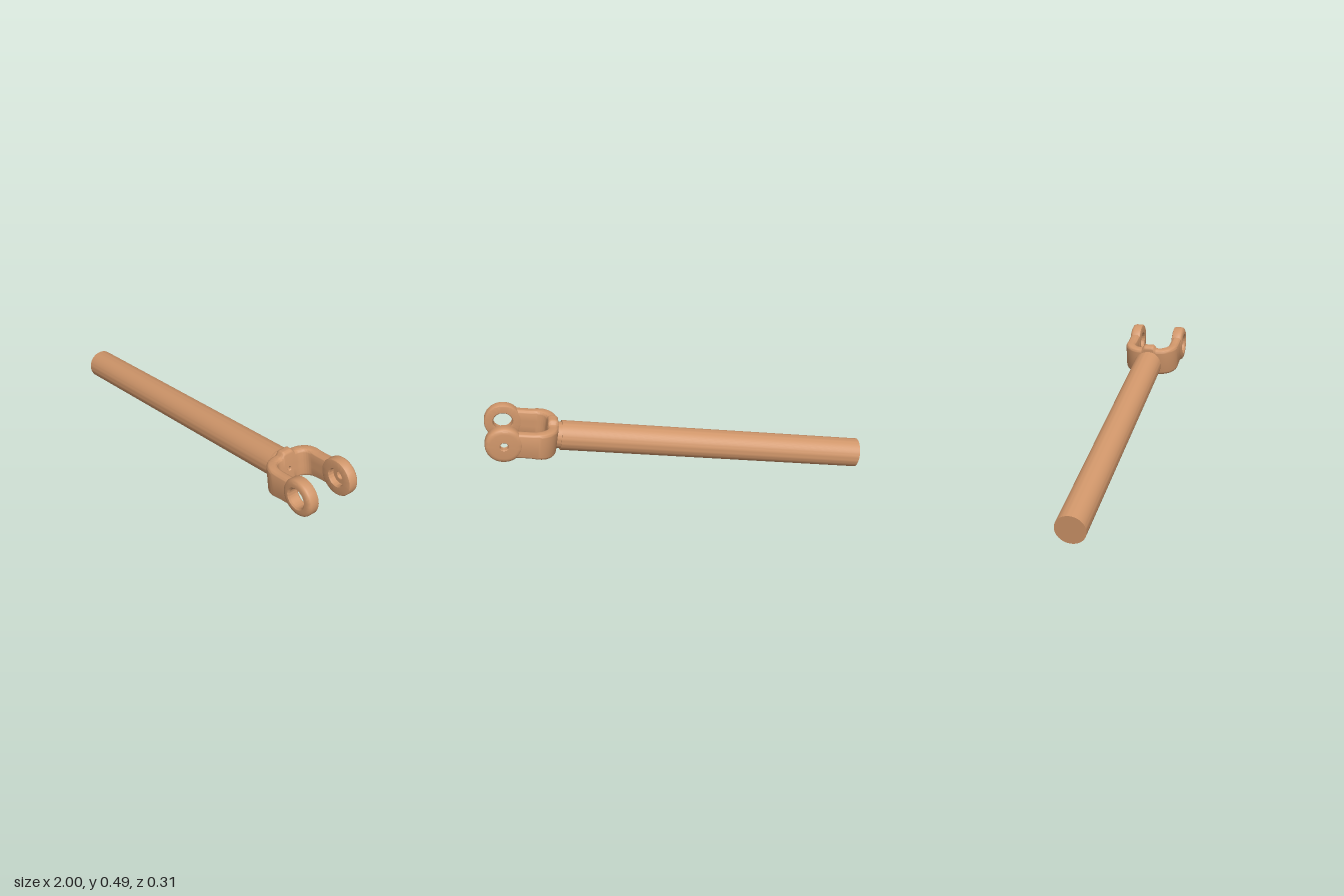
import * as THREE from 'three';
import { toCreasedNormals } from 'three/addons/utils/BufferGeometryUtils.js';

// Local frame: x runs along the rod, y across the fork's height, z across its width.
const ROD_END = 1.622, BASE_X = 1.67, EYE_X = 1.915, ARM_TIP = 1.85;
const ARM_Z = 0.124, BEND = 0.075, HALF_T = 0.027, EDGE = 0.018, PATCH = 0.016;

const material = new THREE.MeshStandardMaterial({ color: 0xd0966a });

function addPart(group, name, geometry, crease = 0.6) {
  const mesh = new THREE.Mesh(toCreasedNormals(geometry, crease), material);
  mesh.name = name;
  group.add(mesh);
  return mesh;
}

function lathe(points, segments) {
  return new THREE.LatheGeometry(points.map(([r, y]) => new THREE.Vector2(r, y)), segments);
}

// U-shaped path of the fork: position, outward direction and half height
function forkStations() {
  const half = [];
  for (let i = 0; i < 7; i++) {
    const x = THREE.MathUtils.lerp(ARM_TIP, BASE_X + BEND, i / 7);
    half.push({ x, z: ARM_Z, nx: 0, nz: 1 });
  }
  for (let i = 0; i <= 12; i++) {
    const a = (i / 12) * Math.PI / 2;
    const nx = -Math.sin(a), nz = Math.cos(a);
    half.push({ x: BASE_X + BEND + BEND * nx, z: ARM_Z - BEND + BEND * nz, nx, nz });
  }
  for (const z of [0.043, 0.039, 0.035, 0.031, 0.027, 0.023, PATCH]) {
    half.push({ x: BASE_X, z, nx: -1, nz: 0 });
  }
  const mirrored = half.map((s) => ({ ...s, z: -s.z, nz: -s.nz })).reverse();
  const all = [...half, ...mirrored];
  for (const s of all) {
    const neck = THREE.MathUtils.smoothstep(s.x, 1.69, 1.79);
    const lug = 1 - THREE.MathUtils.smoothstep(Math.abs(s.z), 0.023, 0.044);
    s.h = 0.077 - 0.008 * neck + 0.021 * lug;
  }
  return { all, middle: half.length - 1 };
}

// Rounded rectangle section: [outward offset, height]
function section(h) {
  const ring = [];
  [[1, 1], [-1, 1], [-1, -1], [1, -1]].forEach(([sn, sv], q) => {
    for (let k = 0; k <= 5; k++) {
      const a = (q + k / 5) * Math.PI / 2;
      ring.push([sn * (HALF_T - EDGE) + EDGE * Math.cos(a), sv * (h - EDGE) + EDGE * Math.sin(a)]);
    }
    if (q === 1) ring.push([-HALF_T, PATCH], [-HALF_T, -PATCH]);
  });
  return ring;
}

// Sweep along the U, leaving a small square open for the grease hole
function forkGeometry() {
  const { all, middle } = forkStations();
  const positions = [], index = [];
  const count = section(0.08).length;
  all.forEach((s, i) => {
    for (const [n, v] of section(s.h)) positions.push(s.x + s.nx * n, v, s.z + s.nz * n);
    if (i === all.length - 1) return;
    for (let j = 0; j < count; j++) {
      if (i === middle && j === 12) continue;
      const a = i * count + j, b = i * count + (j + 1) % count;
      index.push(a, b, b + count, a, b + count, a + count);
    }
  });
  const g = new THREE.BufferGeometry();
  g.setAttribute('position', new THREE.Float32BufferAttribute(positions, 3));
  g.setIndex(index);
  return g;
}

// Eye ring with softly domed outer face; the bore runs from outer face to inner face
function eyeGeometry(bore, side) {
  const rim = [
    [0.088, 0.095], [0.093, 0.097], [0.096, 0.102], [0.096, 0.136], [0.094, 0.144],
    [0.089, 0.150], [0.081, 0.154], [0.070, 0.156],
  ];
  return lathe([...rim, ...bore, rim[0]], 56)
    .rotateX(side * Math.PI / 2)
    .translate(EYE_X, 0, 0);
}

export function createModel() {
  const model = new THREE.Group();
  model.name = 'forkedRod';
  const arm = new THREE.Group();
  arm.name = 'tiltedAssembly';
  arm.position.set(-0.987, 0.078, 0);
  arm.rotation.z = 0.1665;
  model.add(arm);

  // Straight rod and the narrower neck joining it to the fork
  addPart(arm, 'rod', new THREE.CylinderGeometry(0.077, 0.077, ROD_END, 64)
    .rotateZ(-Math.PI / 2).translate(ROD_END / 2, 0, 0));
  addPart(arm, 'neck', new THREE.CylinderGeometry(0.069, 0.069, 0.05, 64)
    .rotateZ(-Math.PI / 2).translate(ROD_END + 0.015, 0, 0));

  addPart(arm, 'fork', forkGeometry(), 0.8);

  // Grease hole in the inner wall of the fork
  const inner = BASE_X + HALF_T;
  const plate = new THREE.Shape([[-1, -1], [1, -1], [1, 1], [-1, 1]]
    .map(([x, y]) => new THREE.Vector2(x * PATCH, y * PATCH)));
  plate.holes.push(new THREE.Path().absarc(0, 0, 0.013, 0, Math.PI * 2, true));
  addPart(arm, 'greaseHolePlate', new THREE.ShapeGeometry(plate, 24)
    .rotateY(Math.PI / 2).translate(inner, 0, 0));
  addPart(arm, 'greaseHole', lathe([[0.013, 0], [0.008, -0.006], [0.008, -0.02], [0, -0.02]], 24)
    .rotateZ(-Math.PI / 2).translate(inner, 0, 0));

  // Front eye: wide through bore. Back eye: inner recess with a small pin hole.
  addPart(arm, 'frontEye', eyeGeometry(
    [[0.058, 0.156], [0.050, 0.149], [0.050, 0.101], [0.055, 0.095]], 1));
  addPart(arm, 'backEye', eyeGeometry(
    [[0.024, 0.157], [0.021, 0.154], [0.021, 0.125], [0.045, 0.125], [0.045, 0.101], [0.050, 0.095]], -1));

  return model;
}
